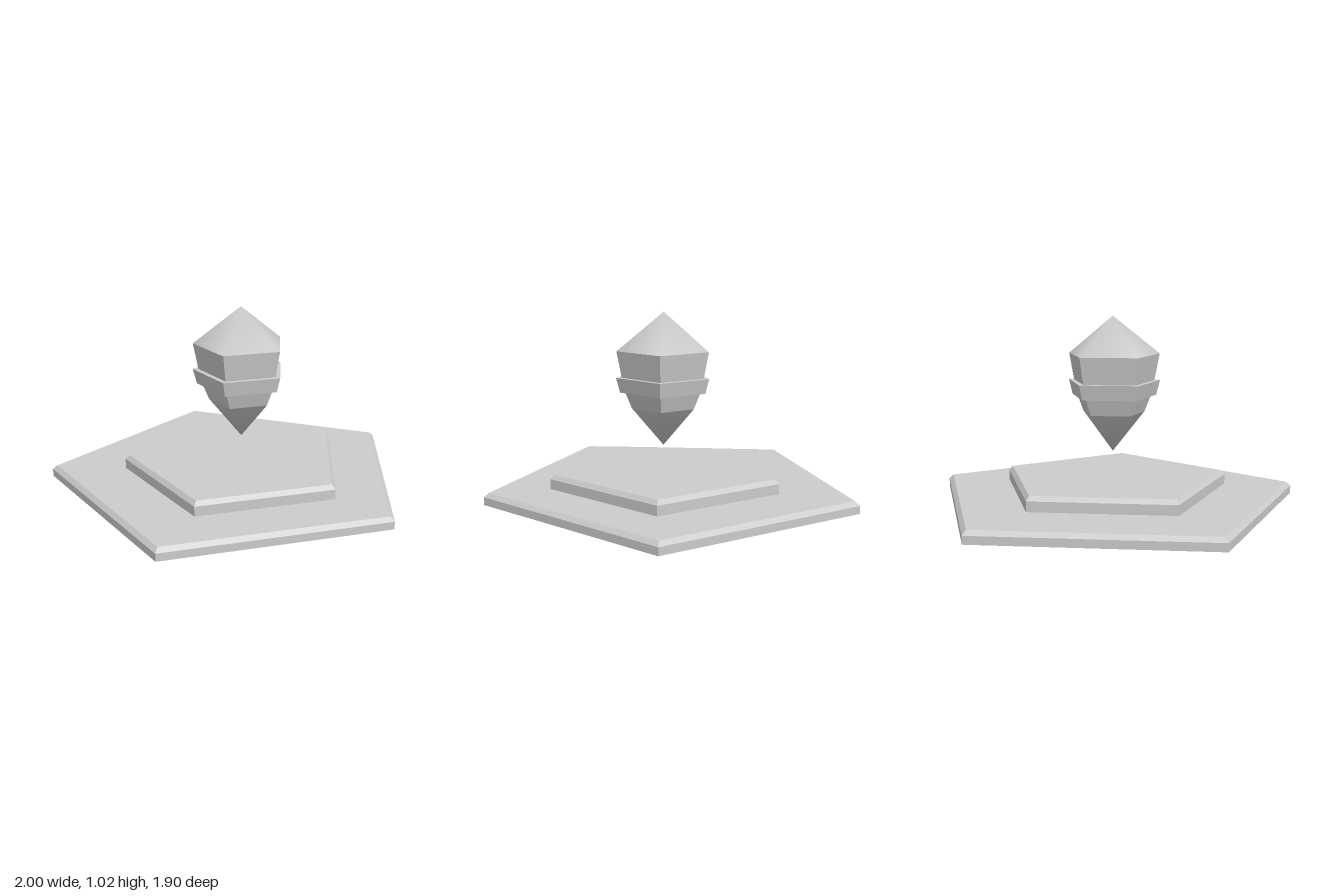
import * as THREE from 'three';
import { mergeVertices } from 'three/addons/utils/BufferGeometryUtils.js';

const SIDES = 5;
const flat = new THREE.MeshStandardMaterial({ color: 0xcccccc, flatShading: true, side: THREE.DoubleSide });
const smooth = new THREE.MeshStandardMaterial({ color: 0xcccccc, side: THREE.DoubleSide });

// Corner i of a pentagonal section [radius, height, centre z], one corner pointing to the front
function corner([r, y, z], i) {
  const a = (i % SIDES) * Math.PI * 2 / SIDES;
  return [r * Math.sin(a), y, z + r * Math.cos(a)];
}

// Skin through a list of sections given from bottom to top; radius 0 closes to a point
function skin(name, sections, soft = false) {
  const pos = [];
  for (let s = 0; s < sections.length - 1; s++) {
    const lo = sections[s], hi = sections[s + 1];
    for (let i = 0; i < SIDES; i++) {
      const a = corner(lo, i), b = corner(lo, i + 1), c = corner(hi, i + 1), d = corner(hi, i);
      if (lo[0] > 0) pos.push(...a, ...b, ...c);
      if (hi[0] > 0) pos.push(...a, ...c, ...d);
    }
  }
  let geo = new THREE.BufferGeometry();
  geo.setAttribute('position', new THREE.Float32BufferAttribute(pos, 3));
  if (soft) geo = mergeVertices(geo);
  geo.computeVertexNormals();
  const mesh = new THREE.Mesh(geo, soft ? smooth : flat);
  mesh.name = name;
  return mesh;
}

export function createModel() {
  const model = new THREE.Group();
  model.name = 'floatingGemOnPlinth';

  // Stepped plinth: a hollow shell, open underneath, with bevelled rims
  const z1 = -0.1, z2 = -0.062;
  model.add(skin('plinth', [
    [1.051, 0, z1], [1.051, 0.043, z1], [1.024, 0.066, z1],
    [0.652, 0.066, z2], [0.652, 0.121, z2], [0.628, 0.145, z2], [0, 0.145, z2],
  ]));

  // Floating gem: pointed tip, stepped body with a collar, pointed crown
  const gem = new THREE.Group();
  gem.name = 'gem';
  gem.position.set(-0.002, 0, -0.046);
  gem.add(
    skin('gemTip', [[0, 0.28, 0], [0.179, 0.495, 0]], true),
    skin('gemBody', [
      [0.179, 0.495, 0], [0.216, 0.585, 0],
      [0.245, 0.585, 0], [0.267, 0.667, 0],
      [0.235, 0.667, 0], [0.264, 0.813, 0],
    ]),
    skin('gemCrown', [[0.264, 0.813, 0], [0, 1.023, 0]], true),
  );
  model.add(gem);
  return model;
}
